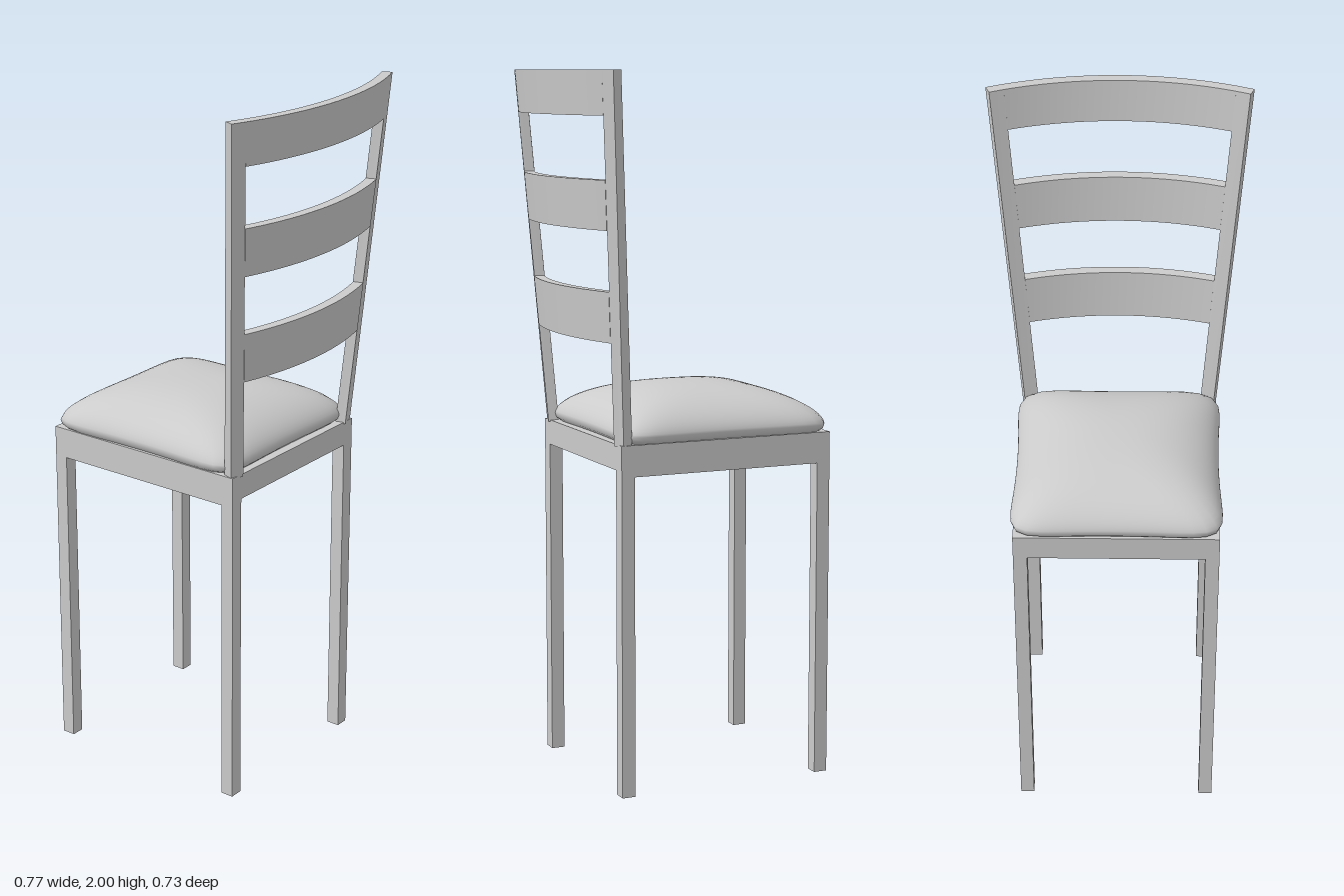
import * as THREE from 'three';
import { mergeVertices } from 'three/addons/utils/BufferGeometryUtils.js';

const material = new THREE.MeshStandardMaterial({ color: 0xcccccc });

// Box given by its min and max corners
function box(name, [x0, y0, z0], [x1, y1, z1]) {
  const mesh = new THREE.Mesh(new THREE.BoxGeometry(x1 - x0, y1 - y0, z1 - z0), material);
  mesh.position.set((x0 + x1) / 2, (y0 + y1) / 2, (z0 + z1) / 2);
  mesh.name = name;
  return mesh;
}

// The backrest lies on one curved sheet that leans back and widens upward
const R = 0.949, THICK = 0.03, POST = 0.04;
const halfWidth = (y) => 0.285 + 0.08 * (y - 1);
const innerWidth = (y) => halfWidth(y) - POST;
const middleX = (y) => 0.3 + 0.09 * (y - 1);

// Piece of the sheet between two heights and two side edges
function backPiece(name, y0, y1, from, to, segments) {
  const geo = new THREE.BoxGeometry(1, 1, 1, 1, 1, segments);
  const p = geo.attributes.position;
  for (let i = 0; i < p.count; i++) {
    const y = y0 + (p.getY(i) + 0.5) * (y1 - y0);
    const a0 = Math.asin(from(y) / R), a1 = Math.asin(to(y) / R);
    const a = a0 + (p.getZ(i) + 0.5) * (a1 - a0);
    const r = R + (p.getX(i) - 0.5) * THICK;
    p.setXYZ(i, middleX(y) - R + r * Math.cos(a), y, r * Math.sin(a));
  }
  geo.computeVertexNormals();
  const mesh = new THREE.Mesh(geo, material);
  mesh.name = name;
  return mesh;
}

// Soft square cushion: a turned profile squared off toward its rim
function cushion() {
  const profile = [[0, 0.985], [0.5, 0.985], [0.9, 0.985], [0.96, 0.989], [0.99, 0.998], [1, 1.01]]
    .map(([x, y]) => new THREE.Vector2(x, y));
  const STEPS = 18;
  for (let i = 1; i <= STEPS; i++) {
    const rho = Math.cos((i / STEPS) * Math.PI / 2);
    profile.push(new THREE.Vector2(i === STEPS ? 0 : rho, 1.01 + 0.11 * Math.pow(1 - Math.pow(rho, 2.5), 0.6)));
  }
  let geo = new THREE.LatheGeometry(profile, 72);
  const p = geo.attributes.position;
  for (let i = 0; i < p.count; i++) {
    const x = p.getX(i), z = p.getZ(i), rho = Math.hypot(x, z);
    if (rho < 1e-6) { p.setXYZ(i, -0.066, p.getY(i), 0); continue; }
    const n = 2 + 6 * rho * rho;
    const k = rho / Math.pow(Math.pow(Math.abs(x), n) + Math.pow(Math.abs(z), n), 1 / n);
    const u = x * k, v = z * k;
    // edges pull in at their middles, corners puff out
    p.setX(i, -0.066 + u * (0.312 + 0.014 * v * v));
    p.setZ(i, v * (0.286 + 0.02 * u * u));
  }
  geo.deleteAttribute('uv');
  geo.deleteAttribute('normal');
  geo = mergeVertices(geo, 1e-5);
  geo.computeVertexNormals();
  const mesh = new THREE.Mesh(geo, material);
  mesh.name = 'cushion';
  return mesh;
}

export function createModel() {
  const group = new THREE.Group();
  group.name = 'chair';
  const X0 = -0.377, X1 = 0.262, Z = 0.285, LEG = 0.039, TOP = 0.99, RAIL = 0.03;

  // Legs and side rails, mirrored in z
  for (const s of [-1, 1]) {
    const za = s < 0 ? -Z : Z - LEG;
    group.add(box('frontLeg', [X0, 0, za], [X0 + LEG, TOP, za + LEG]));
    group.add(box('backLeg', [X1 - LEG, 0, za], [X1, TOP, za + LEG]));
    const zr = s < 0 ? -Z : Z - RAIL;
    group.add(box('sideRail', [X0 + LEG, 0.902, zr], [X1 - LEG, TOP, zr + RAIL]));
  }

  // Front and back rails, seat board
  group.add(box('frontRail', [X0, 0.918, -Z + LEG], [X0 + RAIL, TOP, Z - LEG]));
  group.add(box('backRail', [X1 - RAIL, 0.918, -Z + LEG], [X1, TOP, Z - LEG]));
  group.add(box('seatBoard', [X0 + RAIL, 0.955, -Z + RAIL], [X1 - RAIL, 0.985, Z - RAIL]));
  group.add(cushion());

  // Backrest posts and curved slats
  group.add(backPiece('backPost', 0.985, 2, innerWidth, halfWidth, 1));
  group.add(backPiece('backPost', 0.985, 2, (y) => -halfWidth(y), (y) => -innerWidth(y), 1));
  for (const [y0, y1] of [[1.27, 1.41], [1.575, 1.71], [1.88, 2]])
    group.add(backPiece('backSlat', y0, y1, (y) => -innerWidth(y), innerWidth, 24));

  return group;
}
